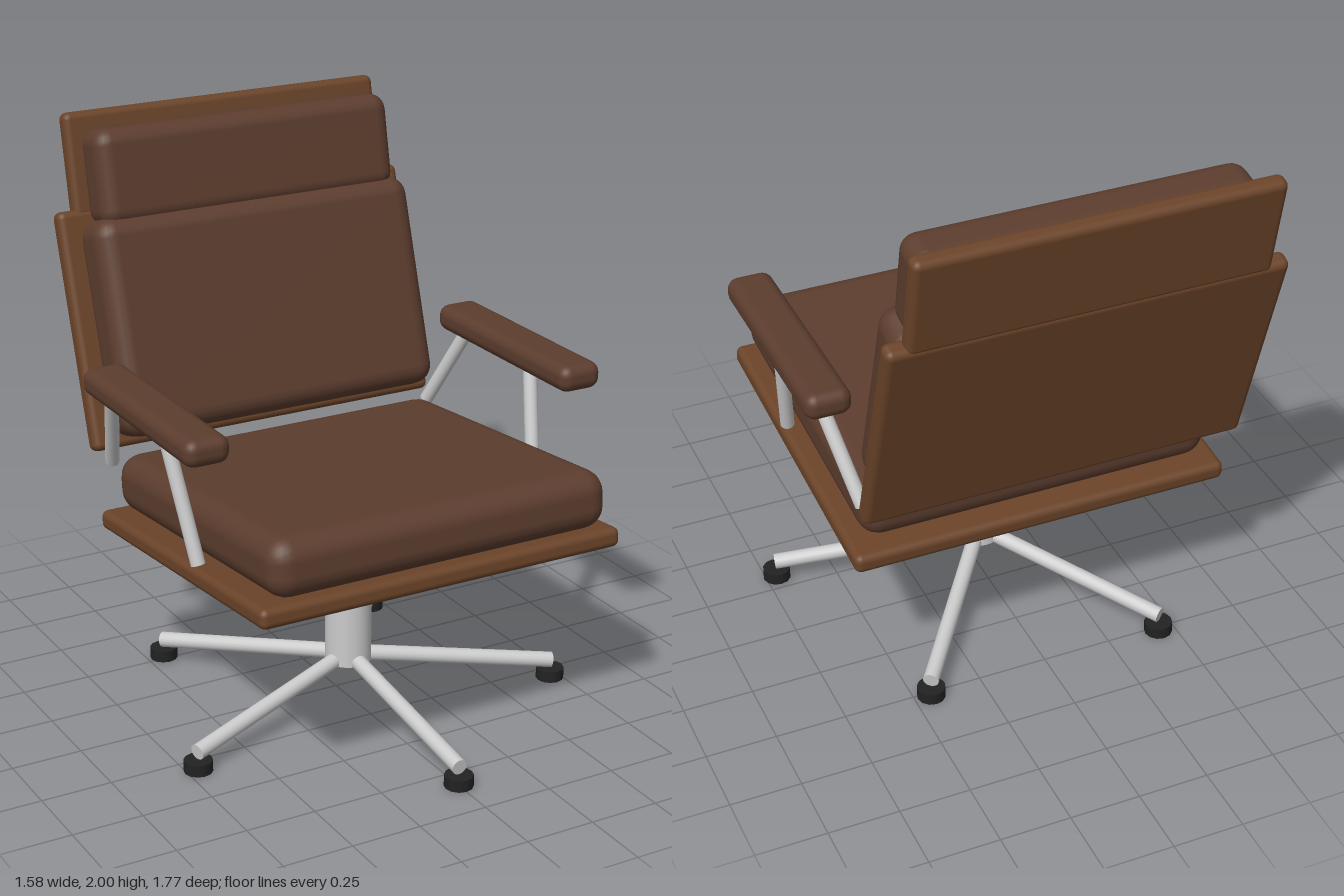
import * as THREE from 'three';
import { RoundedBoxGeometry } from 'three/addons/geometries/RoundedBoxGeometry.js';

const leather = new THREE.MeshStandardMaterial({ color: 0x5c3d2e });
const shell = new THREE.MeshStandardMaterial({ color: 0x6b4429 });
const metal = new THREE.MeshStandardMaterial({ color: 0xcccccc });
const rubber = new THREE.MeshStandardMaterial({ color: 0x222222 });

// Rounded slab centred at (x, y, z), leaning back by a number of degrees
function pad(name, material, [w, h, d], radius, [x, y, z], lean = 0) {
  const mesh = new THREE.Mesh(new RoundedBoxGeometry(w, h, d, 3, radius), material);
  mesh.name = name;
  mesh.position.set(x, y, z);
  mesh.rotation.x = -THREE.MathUtils.degToRad(lean);
  return mesh;
}

// Straight round tube between two points
function rod(name, from, to, radius) {
  const a = new THREE.Vector3(...from);
  const b = new THREE.Vector3(...to);
  const dir = b.clone().sub(a);
  const mesh = new THREE.Mesh(new THREE.CylinderGeometry(radius, radius, dir.length(), 16), metal);
  mesh.name = name;
  mesh.position.copy(a).add(b).multiplyScalar(0.5);
  mesh.quaternion.setFromUnitVectors(new THREE.Vector3(0, 1, 0), dir.normalize());
  return mesh;
}

export function createModel() {
  const chair = new THREE.Group();
  chair.name = 'loungeChair';

  // Seat and two-piece back, each a thin shell with a cushion
  chair.add(
    pad('seatShell', shell, [1.37, 0.07, 1.24], 0.025, [0, 0.668, 0.13], 5),
    pad('seatCushion', leather, [1.28, 0.207, 1.207], 0.08, [0, 0.815, 0.147], 5),
    pad('backShell', shell, [1.37, 0.85, 0.07], 0.025, [0, 1.257, -0.665], 17.5),
    pad('backCushion', leather, [1.25, 0.77, 0.21], 0.07, [0, 1.29, -0.548], 17.5),
    pad('headShell', shell, [1.24, 0.37, 0.065], 0.025, [0, 1.815, -0.823], 11.5),
    pad('headCushion', leather, [1.165, 0.345, 0.176], 0.06, [0, 1.793, -0.695], 11.5)
  );

  // Armrests on two slanted struts
  for (const side of [1, -1]) {
    const arm = new THREE.Group();
    arm.name = side > 0 ? 'leftArm' : 'rightArm';
    arm.add(
      pad('armrest', leather, [0.162, 0.096, 0.83], 0.04, [side * 0.71, 1.192, 0.043]),
      rod('frontStrut', [side * 0.71, 1.135, 0.132], [side * 0.66, 0.72, 0.248], 0.025),
      rod('rearStrut', [side * 0.71, 1.13, -0.295], [side * 0.645, 0.84, -0.455], 0.025)
    );
    chair.add(arm);
  }

  // Swivel base: column with five sloping legs on feet
  const base = new THREE.Group();
  base.name = 'swivelBase';
  base.position.z = 0.088;
  const column = new THREE.Mesh(new THREE.CylinderGeometry(0.082, 0.082, 0.42, 32), metal);
  column.name = 'column';
  column.position.y = 0.36;
  base.add(column);
  for (let i = 0; i < 5; i++) {
    const angle = (i * 2 * Math.PI) / 5;
    const x = 0.75 * Math.sin(angle);
    const z = 0.75 * Math.cos(angle);
    const foot = new THREE.Mesh(new THREE.CylinderGeometry(0.05, 0.05, 0.042, 12), rubber);
    foot.name = 'foot';
    foot.position.set(x * 0.995, 0.021, z * 0.995);
    base.add(rod('leg', [0, 0.175, 0], [x, 0.07, z], 0.028), foot);
  }
  chair.add(base);

  return chair;
}
